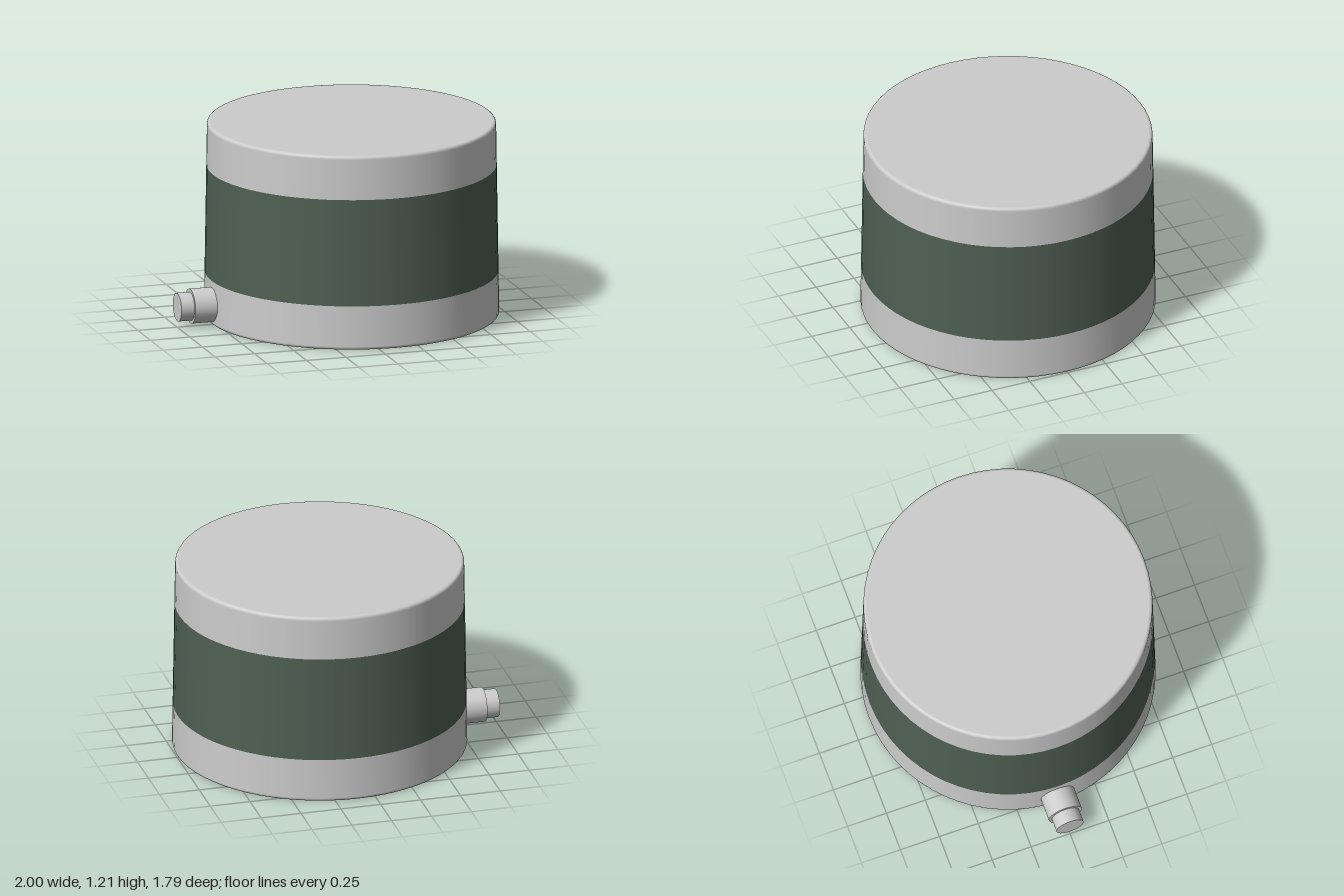
import * as THREE from 'three';

const HEIGHT = 1.205, R_BOTTOM = 0.893, R_TOP = 0.874, BEVEL = 0.018, SEGMENTS = 64;
const CENTER_X = 0.107;

const grey = new THREE.MeshStandardMaterial({ color: 0xcccccc });
const green = new THREE.MeshStandardMaterial({ color: 0x4f5f53 });

// Radius of the slightly tapered wall at height y
const wall = (y) => THREE.MathUtils.lerp(R_BOTTOM, R_TOP, y / HEIGHT);

// Rounded rim from the flat cap to the wall; dir is +1 for the top, -1 for the bottom
function rim(y, dir) {
  const r = wall(y) - BEVEL;
  const points = [new THREE.Vector2(0, y), new THREE.Vector2(r - 0.004, y)];
  for (let i = 0; i <= 4; i++) {
    const a = (i / 4) * Math.PI / 2;
    points.push(new THREE.Vector2(r + BEVEL * Math.sin(a), y - dir * BEVEL * (1 - Math.cos(a))));
  }
  points.push(new THREE.Vector2(wall(y - dir * 0.022), y - dir * 0.022));
  return points;
}

function lathe(name, points, material) {
  const mesh = new THREE.Mesh(new THREE.LatheGeometry(points, SEGMENTS), material);
  mesh.name = name;
  mesh.position.x = CENTER_X;
  return mesh;
}

// Cylinder lying along x, between two x positions
function pipe(name, x0, x1, radius) {
  const geometry = new THREE.CylinderGeometry(radius, radius, x1 - x0, 40).rotateZ(Math.PI / 2);
  const mesh = new THREE.Mesh(geometry, grey);
  mesh.name = name;
  mesh.position.set((x0 + x1) / 2, 0.125, 0);
  return mesh;
}

export function createModel() {
  const model = new THREE.Group();
  model.name = 'canister';
  const at = (y) => new THREE.Vector2(wall(y), y);
  const bandLow = 0.272, bandHigh = 0.933;

  // Body: base, coloured band and lid form one flush wall
  model.add(lathe('base', [...rim(0, -1), at(bandLow)], grey));
  model.add(lathe('band', [at(bandLow), at(bandHigh)], green));
  model.add(lathe('lid', [...rim(HEIGHT, 1), at(bandHigh)].reverse(), grey));

  // Side outlet near the base
  const outlet = new THREE.Group();
  outlet.name = 'outlet';
  outlet.add(pipe('outletCollar', -0.917, -0.7, 0.106), pipe('outletTip', -1, -0.9, 0.087));
  model.add(outlet);
  return model;
}
